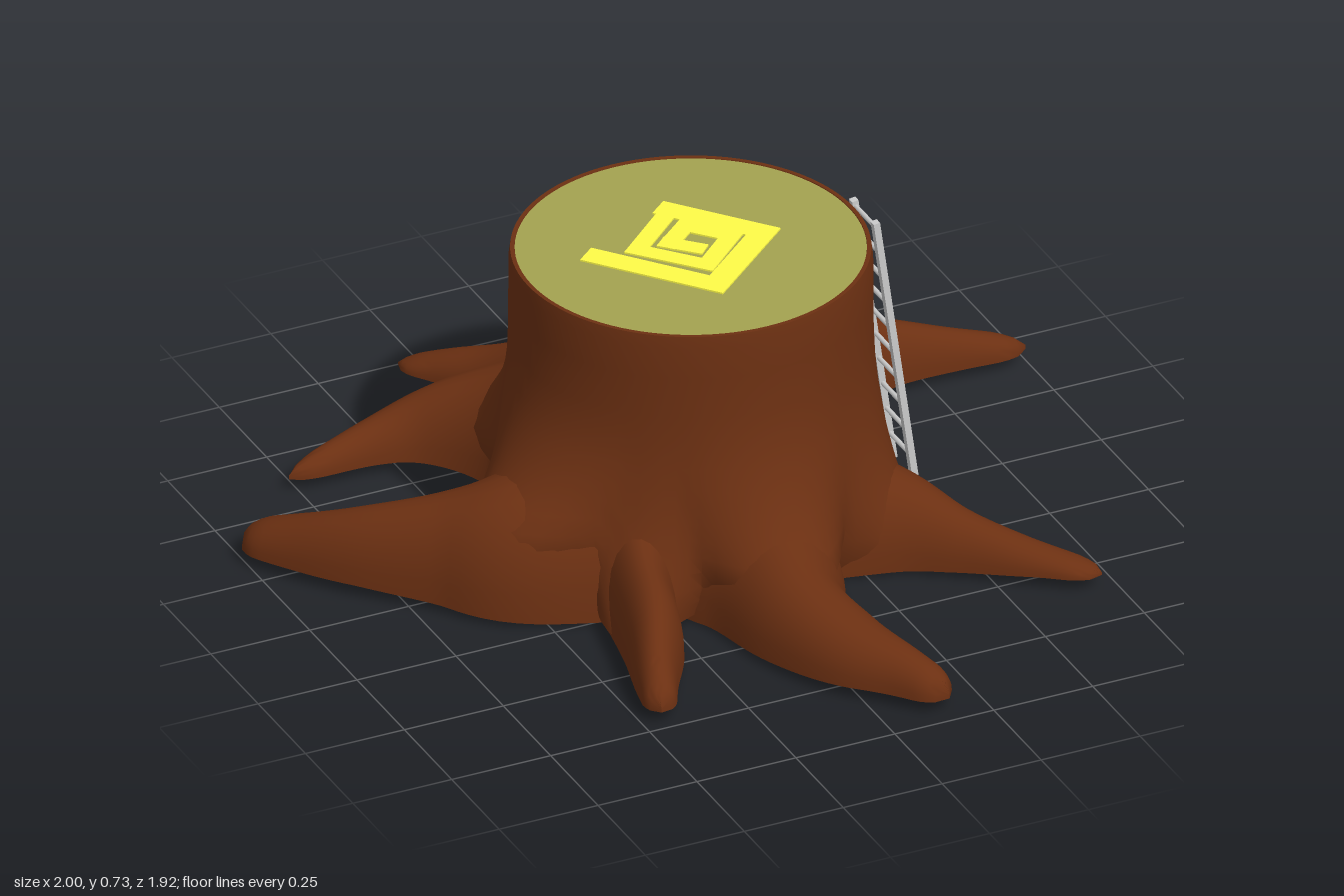
import * as THREE from 'three';
import { mergeVertices, toCreasedNormals } from 'three/addons/utils/BufferGeometryUtils.js';

const bark = new THREE.MeshStandardMaterial({ color: 0x6c3012, side: THREE.DoubleSide });
const wood = new THREE.MeshStandardMaterial({ color: 0xa4a350 });
const yellow = new THREE.MeshStandardMaterial({ color: 0xfffb48 });
const metal = new THREE.MeshStandardMaterial({ color: 0xcccccc });

const TOP = 0.73, CX = -0.007, CZ = -0.063;

// Each root: stations of [x, z, half width, crest height], from inside the trunk to the tip
const roots = {
  backLeftRoot: [[0.2, -0.25, 0.17, 0.36], [0.38, -0.34, 0.13, 0.29], [0.5, -0.41, 0.09, 0.235],
    [0.65, -0.44, 0.07, 0.175], [0.82, -0.425, 0.05, 0.115], [1, -0.4, 0.04, 0.06]],
  frontLeftRoot: [[0.2, 0.12, 0.2, 0.28], [0.37, 0.26, 0.12, 0.205], [0.47, 0.37, 0.075, 0.14],
    [0.58, 0.48, 0.055, 0.095], [0.715, 0.6, 0.04, 0.05]],
  frontRoot: [[-0.02, 0.15, 0.25, 0.36], [-0.01, 0.36, 0.18, 0.27], [-0.02, 0.55, 0.125, 0.205],
    [0.03, 0.72, 0.1, 0.155], [0.1, 0.85, 0.065, 0.12], [0.16, 0.955, 0.045, 0.08]],
  frontRightRoot: [[-0.25, 0.15, 0.12, 0.27], [-0.32, 0.34, 0.08, 0.215], [-0.36, 0.48, 0.07, 0.185],
    [-0.42, 0.62, 0.05, 0.13], [-0.46, 0.73, 0.035, 0.07]],
  rightRoot: [[-0.25, 0.05, 0.25, 0.38], [-0.49, 0.03, 0.19, 0.305], [-0.64, -0.05, 0.12, 0.24],
    [-0.8, -0.17, 0.085, 0.18], [-0.9, -0.28, 0.07, 0.13], [-0.98, -0.39, 0.06, 0.08]],
  backRightRoot: [[-0.15, -0.3, 0.2, 0.35], [-0.25, -0.48, 0.15, 0.265], [-0.4, -0.585, 0.085, 0.19],
    [-0.55, -0.615, 0.055, 0.12], [-0.77, -0.59, 0.025, 0.06]],
  backRoot: [[0.08, -0.25, 0.2, 0.36], [-0.02, -0.49, 0.14, 0.28], [-0.1, -0.67, 0.1, 0.19],
    [-0.165, -0.78, 0.07, 0.13], [-0.24, -0.87, 0.05, 0.09], [-0.32, -0.955, 0.035, 0.045]],
};

// Angle in degrees and strength of the trunk's flare into each root
const flares = [[-38, 0.35], [42, 0.2], [90, 0.42], [130, 0.2], [165, 0.62], [-120, 0.38], [-92, 0.38]];

function addMesh(parent, name, geometry, material) {
  const mesh = new THREE.Mesh(geometry, material);
  mesh.name = name;
  parent.add(mesh);
  return mesh;
}

// Turned trunk whose foot swells into the roots, in narrower lobes near the ground
function trunkGeometry() {
  const profile = [[0, 0], [0.405, 0.02], [0.415, 0.06], [0.417, 0.1], [0.418, 0.14], [0.418, 0.18], [0.418, 0.22],
    [0.418, 0.26], [0.418, 0.3], [0.418, 0.34], [0.417, 0.39], [0.416, 0.45], [0.416, 0.52], [0.416, 0.62],
    [0.416, 0.7], [0.412, TOP], [0.402, TOP], [0.4, 0.722], [0, 0.722]];
  const g = new THREE.LatheGeometry(profile.map(([r, y]) => new THREE.Vector2(r, y)), 96);
  const p = g.attributes.position;
  for (let i = 0; i < p.count; i++) {
    const x = p.getX(i), y = p.getY(i), z = p.getZ(i), r = Math.hypot(x, z);
    if (r < 0.01 || y > 0.65) continue;
    const angle = THREE.MathUtils.radToDeg(Math.atan2(z, x));
    const spread = 12 + 50 * Math.min(y, 0.35);
    const fade = ((0.65 - y) / 0.65) ** 3;
    let swell = 0;
    for (const [centre, amount] of flares) {
      const d = ((angle - centre + 540) % 360) - 180;
      swell = Math.max(swell, Math.min(amount * fade, 0.2) * Math.exp(-((d / spread) ** 2)));
    }
    const k = 1 + swell / r;
    p.setXYZ(i, x * k, y, z * k);
  }
  g.deleteAttribute('uv');
  g.deleteAttribute('normal');
  return toCreasedNormals(mergeVertices(g, 1e-4), 0.9);
}

// Flat-bottomed arch swept along the stations, with a rounded tip
function rootGeometry(stations) {
  const curve = (points) => new THREE.CatmullRomCurve3(points, false, 'catmullrom');
  const path = curve(stations.map(([x, z, , h]) => new THREE.Vector3(x, h, z)));
  const widths = curve(stations.map(([, , w]) => new THREE.Vector3(w, 0, 0)));
  const rings = 36, arch = 14, n = arch + 1, pos = [], idx = [];
  for (let i = 0; i <= rings; i++) {
    const t = i / rings;
    const c = path.getPoint(t), tan = path.getTangent(t);
    const side = new THREE.Vector3(-tan.z, 0, tan.x).normalize();
    const round = t > 0.9 ? Math.sqrt(Math.max(0, 1 - ((t - 0.9) / 0.1) ** 2)) : 1;
    const w = widths.getPoint(t).x * round;
    const base = 0.03 * THREE.MathUtils.clamp((Math.hypot(c.x, c.z) - 0.3) / 0.5, 0, 1);
    const h = (c.y - base) * (0.35 + 0.65 * round);
    for (let j = 0; j <= arch; j++) {
      const a = (Math.PI * j) / arch;
      const off = w * Math.cos(a);
      pos.push(c.x + side.x * off, base + h * Math.max(0, Math.sin(a)) ** 0.9, c.z + side.z * off);
    }
  }
  for (let i = 0; i < rings; i++) {
    for (let j = 0; j < n; j++) {
      const a = i * n + j, b = i * n + ((j + 1) % n), c = a + n, d = b + n;
      idx.push(a, c, b, b, c, d);
    }
  }
  const g = new THREE.BufferGeometry();
  g.setAttribute('position', new THREE.Float32BufferAttribute(pos, 3));
  g.setIndex(idx);
  return toCreasedNormals(g, 0.9);
}

// Square spiral of flat bars laid on the cut face
function spiralInlay() {
  const group = new THREE.Group();
  group.name = 'spiralInlay';
  const corners = [[-0.22, -0.11], [-0.03, 0.12], [0.17, -0.05], [0.02, -0.23], [-0.125, -0.1],
    [-0.01, 0.03], [0.095, -0.065], [0.02, -0.15], [-0.045, -0.095], [0, -0.05]];
  for (let i = 0; i < corners.length - 1; i++) {
    const [x0, z0] = corners[i], [x1, z1] = corners[i + 1];
    const width = i < 3 ? 0.06 : 0.045;
    const bar = addMesh(group, 'spiralBar',
      new THREE.BoxGeometry(Math.hypot(x1 - x0, z1 - z0) + width, 0.004, width), yellow);
    bar.position.set((x0 + x1) / 2, TOP, (z0 + z1) / 2);
    bar.rotation.y = -Math.atan2(z1 - z0, x1 - x0);
  }
  return group;
}

// Ladder leaning on the trunk's left side
function ladder() {
  const group = new THREE.Group();
  group.name = 'ladder';
  const foot = new THREE.Vector2(0.517, 0.03), head = new THREE.Vector2(0.418, 0.732);
  const length = foot.distanceTo(head);
  for (const s of [-1, 1]) {
    addMesh(group, 'ladderRail', new THREE.BoxGeometry(0.016, length, 0.018), metal).position.z = s * 0.057;
  }
  for (let i = 0; i < 10; i++) {
    const rung = addMesh(group, 'ladderRung', new THREE.CylinderGeometry(0.006, 0.006, 0.112, 8), metal);
    rung.rotation.x = Math.PI / 2;
    rung.position.y = -length / 2 + 0.068 + i * 0.0695;
  }
  group.position.set((foot.x + head.x) / 2, (foot.y + head.y) / 2, -0.034);
  group.rotation.z = Math.atan2(foot.x - head.x, head.y - foot.y);
  return group;
}

export function createModel() {
  const model = new THREE.Group();
  model.name = 'treeStump';
  addMesh(model, 'trunk', trunkGeometry(), bark).position.set(CX, 0, CZ);
  for (const [name, stations] of Object.entries(roots)) addMesh(model, name, rootGeometry(stations), bark);

  // Cut face
  const face = addMesh(model, 'cutFace', new THREE.CircleGeometry(0.402, 72), wood);
  face.rotation.x = -Math.PI / 2;
  face.position.set(CX, 0.728, CZ);

  model.add(spiralInlay(), ladder());
  return model;
}
